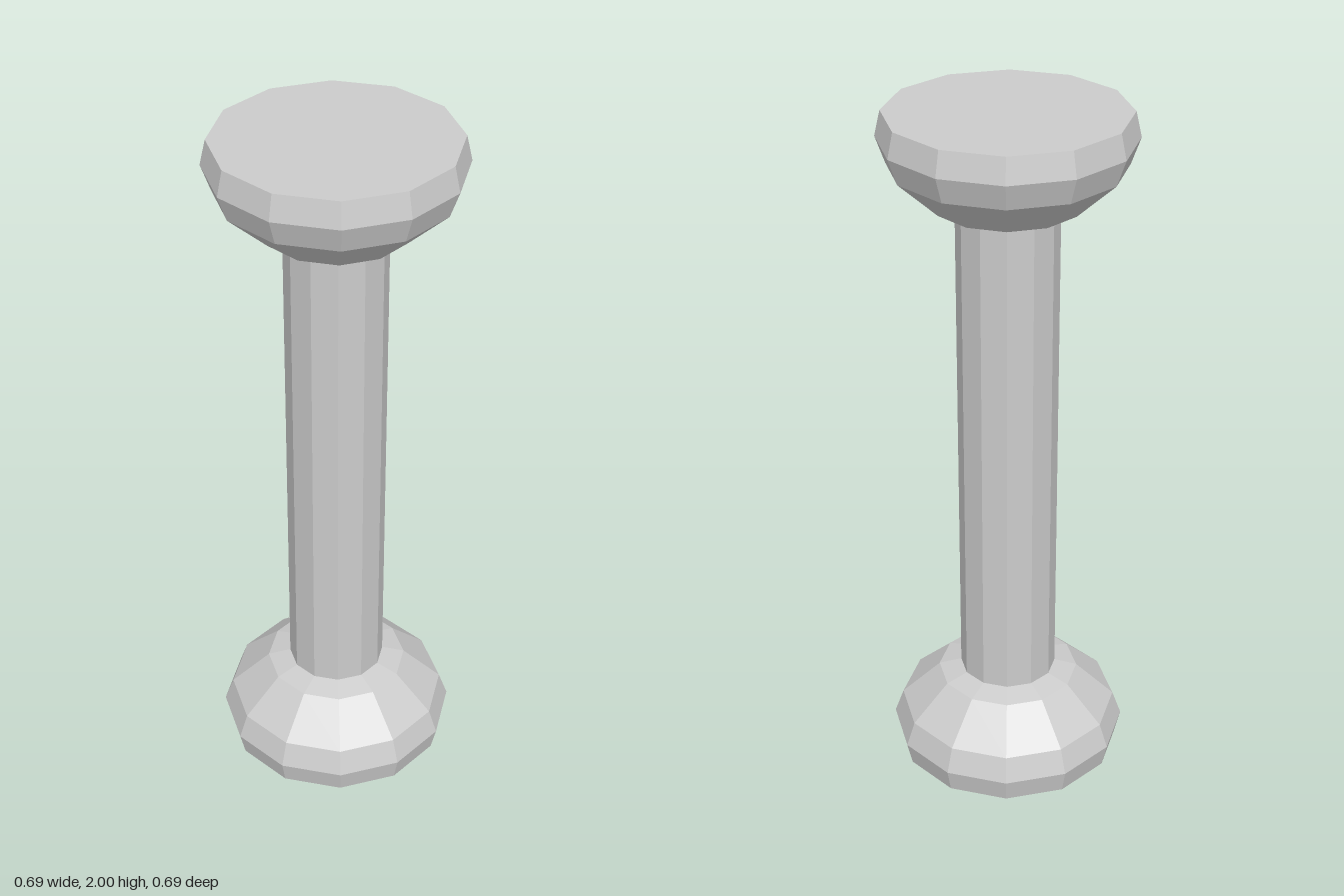
import * as THREE from 'three';

const SIDES = 12;
const material = new THREE.MeshStandardMaterial({ color: 0xcccccc, flatShading: true });

// Faceted solid of revolution from [radius, height] pairs, listed bottom to top
function turned(name, profile) {
  const points = profile.map(([r, y]) => new THREE.Vector2(r, y));
  const mesh = new THREE.Mesh(new THREE.LatheGeometry(points, SIDES), material);
  mesh.name = name;
  return mesh;
}

export function createModel() {
  const group = new THREE.Group();
  group.name = 'dumbbell';

  // Rounded end weight: flat face, bulging rim, sloped shoulder, collar
  const weight = [
    [0, 0], [0.33, 0], [0.346, 0.07], [0.32, 0.143],
    [0.207, 0.249], [0.14, 0.267], [0, 0.267],
  ];
  group.add(turned('lowerWeight', weight));

  const upper = weight.map(([r, y]) => [r, 2 - y]).reverse();
  group.add(turned('upperWeight', upper));

  // Straight grip bar between the weights
  group.add(turned('handle', [[0.141, 0.26], [0.141, 1.74]]));

  return group;
}
